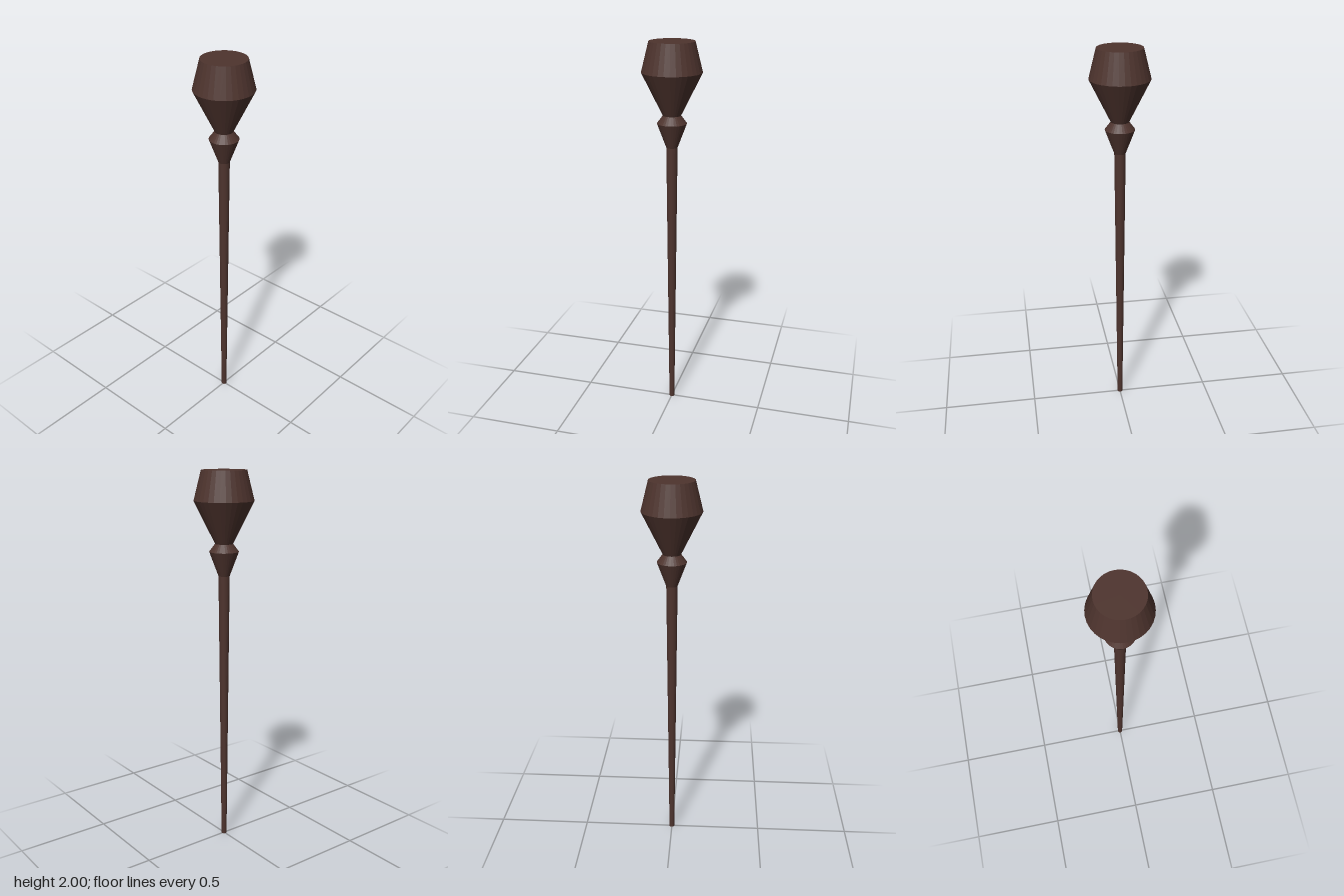
import * as THREE from 'three';

export function createModel() {
  const model = new THREE.Group();
  const wood = new THREE.MeshStandardMaterial({ color: 0x4e342e, flatShading: true });
  wood.name = 'darkWood';

  // Each part is a tapered round section: name, bottom y, top y, bottom radius, top radius
  const sections = [
    ['shaft', 0, 1.47, 0.014, 0.029],
    ['collarLower', 1.47, 1.595, 0.029, 0.076],
    ['collarUpper', 1.595, 1.635, 0.076, 0.046],
    ['headLower', 1.635, 1.85, 0.046, 0.153],
    ['headUpper', 1.85, 2, 0.153, 0.115],
  ];

  for (const [name, y0, y1, r0, r1] of sections) {
    // Only the foot and the crown are capped; the inner joints meet edge to edge
    const open = y0 > 0 && y1 < 2;
    const mesh = new THREE.Mesh(new THREE.CylinderGeometry(r1, r0, y1 - y0, 32, 1, open), wood);
    mesh.name = name;
    mesh.position.y = (y0 + y1) / 2;
    model.add(mesh);
  }
  return model;
}
